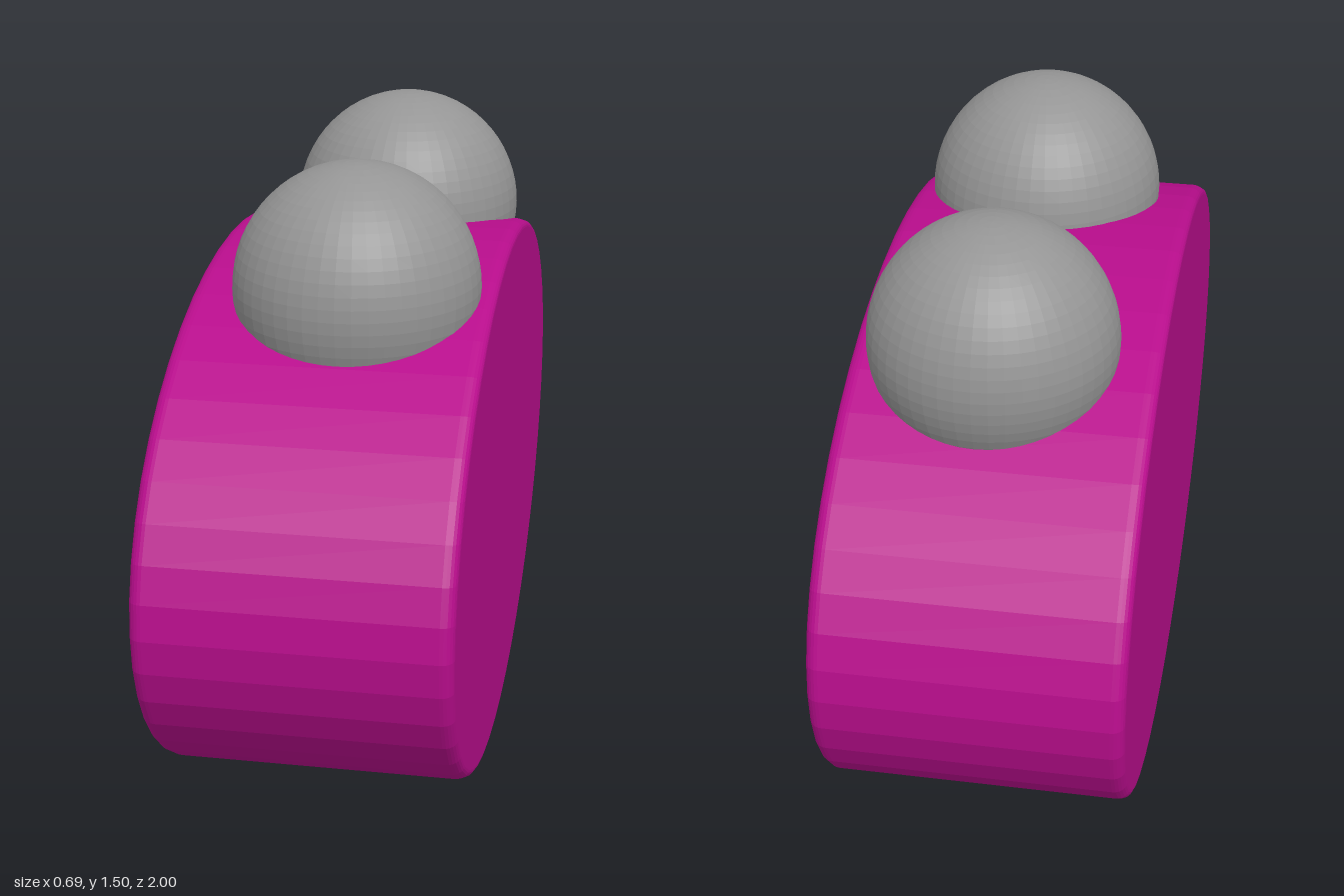
import * as THREE from 'three';

export function createModel() {
  const model = new THREE.Group();
  const magenta = new THREE.MeshStandardMaterial({ color: 0xb80d8c, flatShading: true });
  magenta.name = 'magenta';
  const grey = new THREE.MeshStandardMaterial({ color: 0x959595, flatShading: true });
  grey.name = 'grey';

  // Oval body: a thick disc with rounded rims, axis along x, squashed in height
  const half = 0.345, bevel = 0.03, steps = 6;
  const profile = [new THREE.Vector2(0, -half)];
  for (const side of [-1, 1]) {
    for (let i = 0; i <= steps; i++) {
      const t = (i / steps) * Math.PI / 2;
      const a = side < 0 ? t : Math.PI / 2 - t;
      profile.push(new THREE.Vector2(
        1 - bevel + bevel * Math.sin(a),
        side * (half - bevel + bevel * Math.cos(a))));
    }
  }
  profile.push(new THREE.Vector2(0, half));
  const bodyGeometry = new THREE.LatheGeometry(profile, 48);
  bodyGeometry.rotateZ(-Math.PI / 2);
  bodyGeometry.scale(1, 0.617, 1);
  const body = new THREE.Mesh(bodyGeometry, magenta);
  body.name = 'body';
  body.position.y = 0.621;
  model.add(body);

  // Two balls sunk into the top of the body
  const ballGeometry = new THREE.SphereGeometry(0.281, 48, 32);
  for (const [name, z] of [['frontBall', 0.34], ['backBall', -0.417]]) {
    const ball = new THREE.Mesh(ballGeometry, grey);
    ball.name = name;
    ball.position.set(0.03, 1.217, z);
    ball.scale.y = 1.01;
    model.add(ball);
  }
  return model;
}
